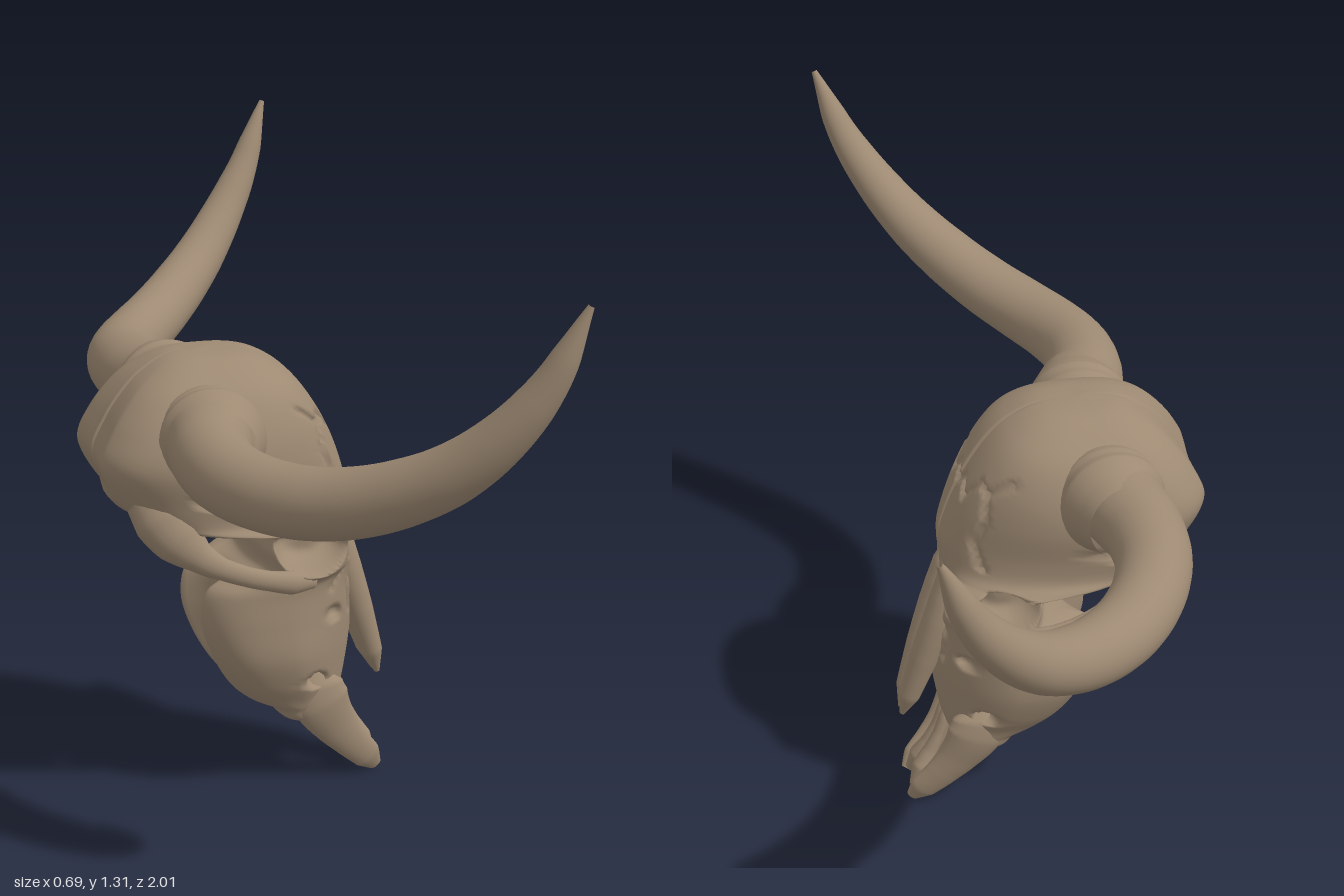
import * as THREE from 'three';
import { mergeVertices } from 'three/addons/utils/BufferGeometryUtils.js';

const V = (x, y, z) => new THREE.Vector3(x, y, z);

// Weld vertices so the normals are smooth across seams
function smooth(geo) {
  geo.deleteAttribute('uv');
  geo.deleteAttribute('normal');
  const g = mergeVertices(geo, 1e-5);
  g.computeVertexNormals();
  return g;
}

// Tube whose radius follows a list; flat squeezes it in z
function taperedTube(points, radii, flat = 1, rings = 48, sides = 20) {
  const curve = new THREE.CatmullRomCurve3(points);
  const geo = new THREE.TubeGeometry(curve, rings, 1, sides);
  const pos = geo.attributes.position;
  const p = V(0, 0, 0);
  for (let i = 0; i <= rings; i++) {
    const c = curve.getPointAt(i / rings);
    const f = (i / rings) * (radii.length - 1);
    const k = Math.min(Math.floor(f), radii.length - 2);
    const r = THREE.MathUtils.lerp(radii[k], radii[k + 1], f - k);
    for (let j = 0; j <= sides; j++) {
      const n = i * (sides + 1) + j;
      p.fromBufferAttribute(pos, n).sub(c).multiplyScalar(r);
      pos.setXYZ(n, c.x + p.x, c.y + p.y, c.z + p.z * flat);
    }
  }
  return smooth(geo);
}

// Suture paths as [z, y] points on one half of the face
const sutures = [
  [[0, 0.82], [0.03, 0.845], [0.06, 0.815], [0.09, 0.865], [0.12, 0.85], [0.15, 0.89]],
  [[0.12, 0.85], [0.135, 0.79], [0.12, 0.74], [0.14, 0.68]],
  [[0, 0.66], [0.03, 0.62], [0.06, 0.55], [0.075, 0.46], [0.06, 0.4]],
  [[0.06, 0.55], [0.1, 0.53], [0.12, 0.47]],
];

function sutureDepth(z, y) {
  let d = z; // midline
  for (const path of sutures) {
    for (let i = 1; i < path.length; i++) {
      const [az, ay] = path[i - 1], [bz, by] = path[i];
      const dz = bz - az, dy = by - ay;
      const t = THREE.MathUtils.clamp(((z - az) * dz + (y - ay) * dy) / (dz * dz + dy * dy), 0, 1);
      d = Math.min(d, Math.hypot(z - az - dz * t, y - ay - dy * t));
    }
  }
  return 0.06 * Math.max(0, 1 - d / 0.007);
}

// Hollows in the sides: x, y, x radius, y radius, depth, wall steepness
const hollows = [
  [0.1, 0.592, 0.082, 0.056, 0.11, 4], // eye socket
  [0.13, 0.26, 0.03, 0.02, 0.04, 2],
  [0.17, 0.41, 0.024, 0.02, 0.025, 2],
  [-0.13, 0.725, 0.02, 0.02, 0.03, 2],
];

// Skull body: stacked sections of y, back x, front x, half width, front taper, back notch
const sections = [
  [1.0, -0.11, -0.09, 0.008, 0, 0],
  [0.992, -0.17, 0.0, 0.07, 0, 0],
  [0.965, -0.225, 0.06, 0.125, 0, 0.005],
  [0.925, -0.275, 0.105, 0.17, 0, 0.012],
  [0.86, -0.325, 0.15, 0.205, 0.1, 0.018],
  [0.79, -0.353, 0.185, 0.218, 0.2, 0.02],
  [0.71, -0.315, 0.212, 0.205, 0.25, 0.02],
  [0.665, -0.265, 0.215, 0.203, 0.22, 0.01],
  [0.645, -0.19, 0.212, 0.218, 0.2, 0],
  [0.63, -0.005, 0.21, 0.228, 0.2, 0],
  [0.58, 0.0, 0.212, 0.228, 0.25, 0],
  [0.535, -0.005, 0.22, 0.205, 0.3, 0],
  [0.51, -0.07, 0.235, 0.168, 0.35, 0.03],
  [0.48, -0.12, 0.24, 0.162, 0.4, 0.07],
  [0.41, -0.13, 0.24, 0.162, 0.45, 0.09],
  [0.33, -0.104, 0.235, 0.158, 0.5, 0.08],
  [0.26, -0.062, 0.225, 0.135, 0.45, 0.06],
  [0.212, -0.01, 0.215, 0.11, 0.35, 0.03],
  [0.185, 0.045, 0.205, 0.1, 0.25, 0],
  [0.155, 0.075, 0.19, 0.085, 0.1, 0],
  [0.15, 0.12, 0.15, 0.005, 0, 0],
];

function skullGeometry() {
  const rows = (sections.length - 1) * 8, cols = 160;
  const size = new THREE.CatmullRomCurve3(sections.map(s => V(s[1], s[0], s[2])), false, 'catmullrom');
  const form = new THREE.CatmullRomCurve3(sections.map(s => V(s[3], s[4], s[5])), false, 'catmullrom');
  const pos = [], index = [];
  const power = (v, e) => Math.sign(v) * Math.abs(v) ** e;
  for (let i = 0; i <= rows; i++) {
    const a = size.getPoint(i / rows), b = form.getPoint(i / rows);
    const y = a.y, xc = (a.x + a.z) / 2, rx = (a.z - a.x) / 2;
    for (let j = 0; j < cols; j++) {
      // Columns crowd towards the midline to carry the groove
      const u = (j / cols) * Math.PI * 2;
      const th = u - 0.425 * Math.sin(2 * u);
      const c = Math.cos(th), s = Math.sin(th);
      let x = rx * power(c, c < 0 ? 0.6 : 0.75);
      let z = b.x * power(s, 0.75) * (1 - b.y * Math.max(0, c));
      // Cleft down the back, between the two halves
      if (c < 0) x += b.z * Math.max(0, 1 - (z / (b.x * 0.5)) ** 2);
      const g = c > 0 || y > 0.68 ? sutureDepth(Math.abs(z), c > 0 ? y : 2) : 0;
      x *= 1 - g;
      z *= 1 - g;
      for (const [hx, hy, hrx, hry, depth, steep] of hollows) {
        const d = Math.hypot((x + xc - hx) / hrx, (y - hy) / hry);
        if (Math.abs(z) > 0.08 && d < 1) z -= Math.sign(z) * depth * (1 - d ** steep);
      }
      pos.push(xc + x, y, z);
      if (i < rows) {
        const k = (j + 1) % cols, p = i * cols, q = p + cols;
        index.push(p + j, p + k, q + j, p + k, q + k, q + j);
      }
    }
  }
  // Close both ends
  for (let j = 1; j < cols - 1; j++) {
    index.push(0, j + 1, j);
    index.push(rows * cols, rows * cols + j, rows * cols + j + 1);
  }
  const geo = new THREE.BufferGeometry();
  geo.setAttribute('position', new THREE.Float32BufferAttribute(pos, 3));
  geo.setIndex(index);
  geo.computeVertexNormals();
  return geo;
}

export function createModel() {
  const group = new THREE.Group();
  group.name = 'hornedSkull';
  const bone = new THREE.MeshStandardMaterial({ color: 0x9e8a73 });
  bone.name = 'bone';
  const add = (name, geo) => {
    const mesh = new THREE.Mesh(geo, bone);
    mesh.name = name;
    group.add(mesh);
  };

  add('skull', skullGeometry());

  for (const s of [1, -1]) {
    const side = s > 0 ? 'PlusZ' : 'MinusZ';
    const path = list => list.map(([x, y, z]) => V(x, y, z * s));

    // Long horn sweeping out, forward and up
    add('horn' + side, taperedTube(path([
      [-0.13, 0.86, 0.12], [-0.14, 0.861, 0.22], [-0.163, 0.861, 0.32], [-0.162, 0.857, 0.42],
      [-0.13, 0.854, 0.52], [-0.075, 0.859, 0.615], [-0.008, 0.878, 0.7], [0.065, 0.915, 0.78],
      [0.145, 0.975, 0.858], [0.22, 1.06, 0.92], [0.285, 1.165, 0.963], [0.343, 1.313, 0.997],
    ]), [0.095, 0.09, 0.082, 0.077, 0.074, 0.072, 0.069, 0.065, 0.059, 0.051, 0.041, 0.028, 0.006], 1, 90, 32));

    // Swollen collar at the horn base
    add('hornCollar' + side, taperedTube(path([
      [-0.12, 0.85, 0.12], [-0.123, 0.852, 0.17], [-0.128, 0.856, 0.215], [-0.14, 0.86, 0.28],
    ]), [0.09, 0.108, 0.112, 0.11, 0.112, 0.104, 0.096, 0.09, 0.084], 1, 36, 32));

    // Cheek arch widening into the back of the skull
    add('cheekArch' + side, taperedTube(path([
      [0.1, 0.518, 0.18], [0.03, 0.53, 0.198], [-0.06, 0.555, 0.2],
      [-0.14, 0.592, 0.185], [-0.2, 0.65, 0.155], [-0.235, 0.72, 0.12],
    ]), [0.015, 0.026, 0.022, 0.022, 0.024, 0.034, 0.055, 0.065, 0.06], 0.75));

    // Pointed nasal bone
    add('nasalBone' + side, taperedTube(path([
      [0.18, 0.65, 0.03], [0.2, 0.56, 0.032], [0.223, 0.48, 0.032], [0.255, 0.38, 0.026],
      [0.286, 0.285, 0.019], [0.305, 0.222, 0.012],
    ]), [0.012, 0.03, 0.034, 0.035, 0.034, 0.032, 0.028, 0.024, 0.006], 1));

    // Forked snout bones: flat outer blade and slim inner bar
    add('snoutBlade' + side, taperedTube(path([
      [0.135, 0.27, 0.075], [0.15, 0.2, 0.08], [0.187, 0.135, 0.073], [0.23, 0.082, 0.066],
      [0.265, 0.045, 0.058], [0.292, 0.012, 0.047],
    ]), [0.02, 0.06, 0.065, 0.057, 0.049, 0.042, 0.037, 0.033, 0.015], 0.45));
    add('snoutBar' + side, taperedTube(path([
      [0.2, 0.25, 0.014], [0.225, 0.16, 0.015], [0.255, 0.09, 0.019], [0.285, 0.03, 0.032],
    ]), [0.006, 0.012, 0.013, 0.017, 0.025, 0.012]));
  }
  return group;
}
